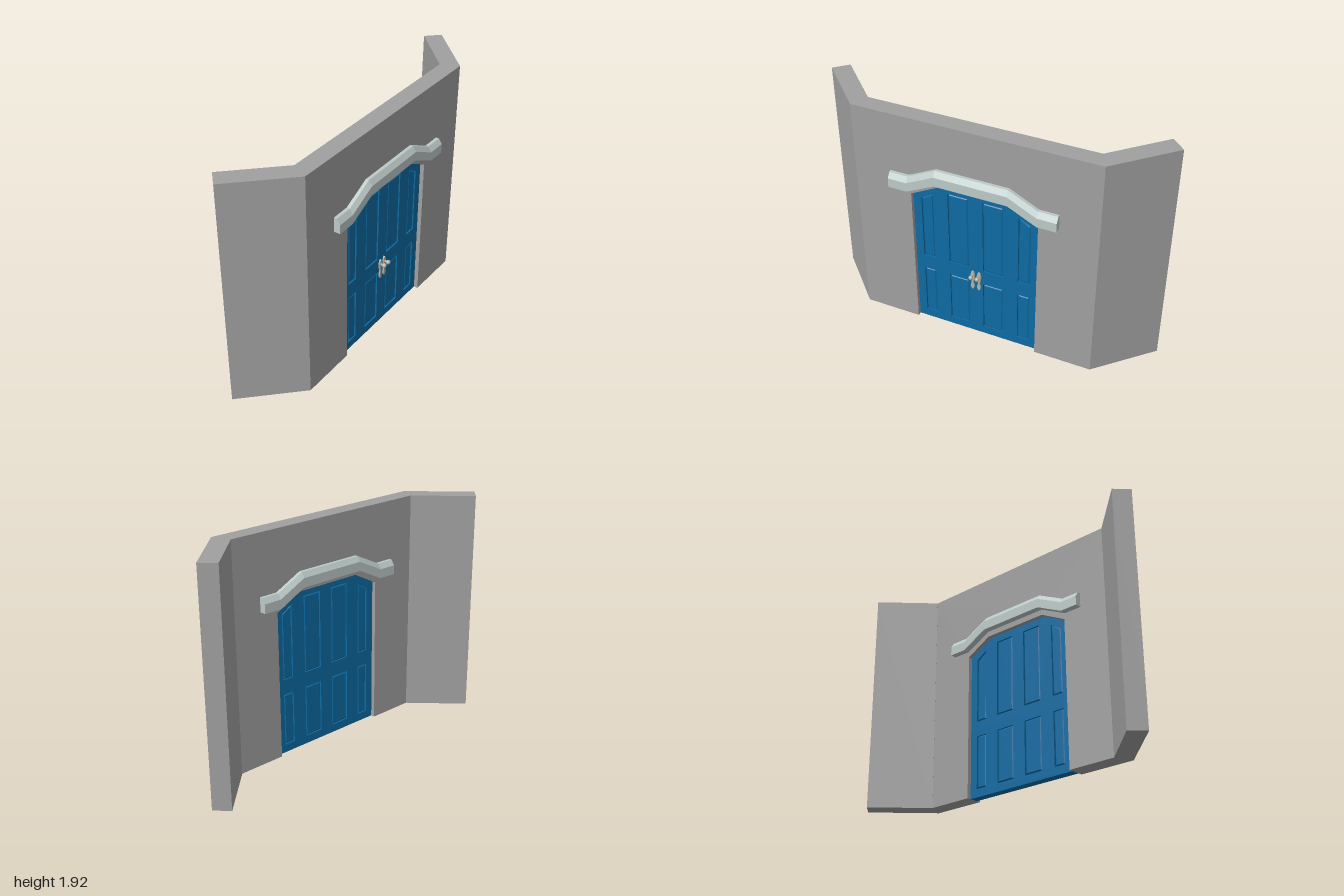
import * as THREE from 'three';

const HEIGHT = 1.92;
const OUTER = 0.42, INNER = 0.276;        // faces of the diagonal wall, along its normal
const MID = (OUTER + INNER) / 2;

const wallMat = new THREE.MeshStandardMaterial({ color: 0xa0a0a0 });
const trimMat = new THREE.MeshStandardMaterial({ color: 0xbccac8, flatShading: true });
const doorMat = new THREE.MeshStandardMaterial({ color: 0x0d6aa2 });
const metalMat = new THREE.MeshStandardMaterial({ color: 0xb4b4a6 });

const polygon = (pts) => new THREE.Shape(pts.map(([x, y]) => new THREE.Vector2(x, y)));

function addMesh(parent, name, geometry, material) {
  const mesh = new THREE.Mesh(geometry, material);
  mesh.name = name;
  parent.add(mesh);
  return mesh;
}

// Doorway outline: straight sides, sloped shoulders, flat top
const doorOutline = (w) => [
  [-w, 0], [-w, 1.25], [-0.295, 1.37], [0.295, 1.37], [w, 1.25], [w, 0],
];

// Side wing extruded upward from its floor plan of [x, z] corners
function wing(plan) {
  const geo = new THREE.ExtrudeGeometry(polygon(plan.map(([x, z]) => [x, -z])), {
    depth: HEIGHT, bevelEnabled: false,
  });
  return geo.rotateX(-Math.PI / 2);
}

// Wall with the doorway cut out, ends mitred to meet the wings
function doorWall() {
  const half = 0.926;
  const shape = polygon([
    [-half, 0], ...doorOutline(0.522), [half, 0], [half, HEIGHT], [-half, HEIGHT],
  ]);
  const geo = new THREE.ExtrudeGeometry(shape, { depth: OUTER - INNER, bevelEnabled: false });
  geo.translate(0, 0, INNER);
  const p = geo.attributes.position;
  for (let i = 0; i < p.count; i++) {
    if (Math.abs(p.getX(i)) > 0.9 && p.getZ(i) > MID) p.setX(i, Math.sign(p.getX(i)) * 0.995);
  }
  geo.computeVertexNormals();
  return geo;
}

// Hood moulding: chamfered section stepped along the arch
function hoodMoulding() {
  const section = [[0, 1.30], [0.055, 1.30], [0.055, 1.377], [0.027, 1.42], [0, 1.42]];
  const path = [[-0.685, 0], [-0.53, 0], [-0.295, 0.117], [0.295, 0.117], [0.53, 0], [0.685, 0]];
  const n = section.length, pos = [], index = [];
  for (const [x, rise] of path) for (const [z, y] of section) pos.push(x, y + rise, z);
  for (let i = 0; i < path.length - 1; i++) {
    for (let j = 0; j < n; j++) {
      const a = i * n + j, b = i * n + (j + 1) % n;
      index.push(a, a + n, b, b, a + n, b + n);
    }
  }
  const last = (path.length - 1) * n;
  for (let j = 1; j < n - 1; j++) {
    index.push(0, j, j + 1, last, last + j + 1, last + j);
  }
  const geo = new THREE.BufferGeometry();
  geo.setAttribute('position', new THREE.Float32BufferAttribute(pos, 3));
  geo.setIndex(index);
  const flat = geo.toNonIndexed();
  flat.computeVertexNormals();
  return flat;
}

// Panel outlines on one half of the door, mirrored to the other
function panelOutlines() {
  const right = [
    [[0.06, 0.07], [0.23, 0.07], [0.23, 0.52], [0.06, 0.52]],
    [[0.06, 0.65], [0.23, 0.65], [0.23, 1.31], [0.06, 1.31]],
    [[0.355, 0.07], [0.455, 0.07], [0.455, 0.52], [0.355, 0.52]],
    [[0.355, 0.65], [0.455, 0.65], [0.455, 1.21], [0.355, 1.27]],
  ];
  return right.flatMap((o) => [o, o.map(([x, y]) => [-x, y]).reverse()]);
}

function buildDoor() {
  const door = new THREE.Group();
  door.name = 'door';
  const outlines = panelOutlines();

  // Stiles and rails
  const frame = polygon(doorOutline(0.522));
  frame.holes = outlines.map((o) => polygon(o));
  const frameGeo = new THREE.ExtrudeGeometry(frame, { depth: 0.074, bevelEnabled: false });
  addMesh(door, 'doorFrame', frameGeo.translate(0, 0, MID - 0.037), doorMat);

  // Raised panels with bevelled borders, visible on both sides
  for (const o of outlines) {
    const geo = new THREE.ExtrudeGeometry(polygon(o), {
      depth: 0.044, bevelThickness: 0.012, bevelSize: 0.014, bevelOffset: -0.014, bevelSegments: 1,
    });
    addMesh(door, 'doorPanel', geo.translate(0, 0, MID - 0.022), doorMat);
  }
  return door;
}

// Backplate with a flared outline, stem and round knob
function buildHandle(x) {
  const handle = new THREE.Group();
  handle.name = 'doorHandle';
  const side = [[0.009, 0.622], [0.015, 0.595], [0.013, 0.56], [0.006, 0.525], [0.013, 0.485], [0.007, 0.46]];
  const outline = new THREE.Shape();
  outline.moveTo(0, 0.632);
  outline.splineThru(side.map(([a, b]) => new THREE.Vector2(a, b)));
  outline.lineTo(0, 0.453);
  outline.splineThru(side.map(([a, b]) => new THREE.Vector2(-a, b)).reverse());
  const plate = new THREE.ExtrudeGeometry(outline, {
    depth: 0.008, bevelThickness: 0.004, bevelSize: 0.003, bevelSegments: 2, curveSegments: 12,
  });
  addMesh(handle, 'backplate', plate.translate(0, 0, 0.385), metalMat);
  const stem = new THREE.CylinderGeometry(0.007, 0.009, 0.03, 16).rotateX(Math.PI / 2);
  addMesh(handle, 'knobStem', stem.translate(0, 0.59, 0.408), metalMat);
  addMesh(handle, 'knob', new THREE.SphereGeometry(0.019, 20, 14).translate(0, 0.59, 0.428), metalMat);
  handle.position.x = x;
  return handle;
}

export function createModel() {
  const model = new THREE.Group();
  model.name = 'cornerDoorway';

  // Two wings, mirrored across the diagonal
  const plan = [[-1, 1], [-0.407, 1], [-0.46, 0.85], [-1, 0.85]];
  addMesh(model, 'frontWing', wing(plan), wallMat);
  addMesh(model, 'sideWing', wing(plan.map(([x, z]) => [z, x])), wallMat);

  // Diagonal part holding the doorway
  const diagonal = new THREE.Group();
  diagonal.name = 'doorway';
  diagonal.rotation.y = Math.PI / 4;
  addMesh(diagonal, 'doorWall', doorWall(), wallMat);
  diagonal.add(buildDoor());
  for (const x of [-0.027, 0.027]) diagonal.add(buildHandle(x));

  // Hood moulding on both faces of the wall
  const hood = hoodMoulding();
  addMesh(diagonal, 'outerHood', hood, trimMat).position.z = OUTER;
  const innerHood = addMesh(diagonal, 'innerHood', hood, trimMat);
  innerHood.rotation.y = Math.PI;
  innerHood.position.z = INNER;

  model.add(diagonal);
  return model;
}
